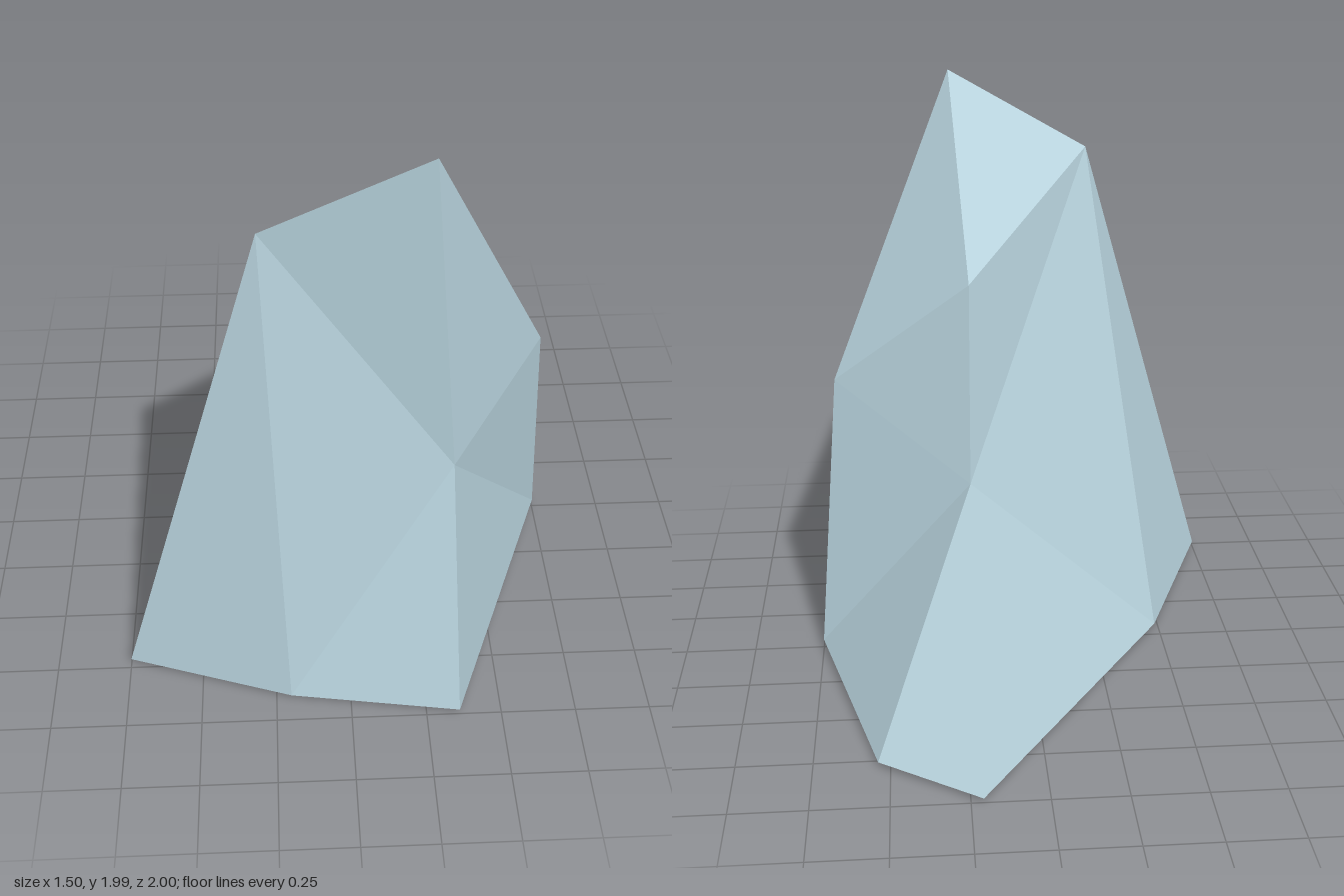
import * as THREE from 'three';

// Corners of the boulder
const P = {
  // ground ring, anticlockwise from the front left corner as seen from above
  g0: [-0.75, 0.02, 0.73],
  g1: [-0.2, 0.015, 0.91],
  g2: [0.36, 0.02, 1.0],
  g3: [0.75, 0.03, 0.0],
  g4: [0.54, 0.015, -0.78],
  g5: [0.21, 0.015, -1.0],
  g6: [-0.49, 0.0, 0.08],
  // shoulders
  front: [0.33, 0.89, 0.76],
  side: [0.68, 0.97, 0.21],
  back: [0.21, 0.73, -0.21],
  // crown
  low: [-0.27, 1.71, 0.67],
  peak: [0.24, 1.99, 0.75],
  rear: [0.2, 1.38, -0.02],
};

// Builds a faceted surface from triangles of named corners
function facets(name, material, triangles) {
  const points = triangles.flatMap((t) => t.split(' ').map((k) => new THREE.Vector3(...P[k])));
  const geometry = new THREE.BufferGeometry().setFromPoints(points);
  geometry.computeVertexNormals();
  const mesh = new THREE.Mesh(geometry, material);
  mesh.name = name;
  return mesh;
}

export function createModel() {
  const stone = new THREE.MeshStandardMaterial({
    color: 0xb5d0da, flatShading: true, side: THREE.DoubleSide,
  });
  stone.name = 'pale blue stone';

  const model = new THREE.Group();
  model.name = 'rock';
  model.add(
    // broad face towards the front
    facets('frontFace', stone, ['g0 g1 low', 'low g1 front', 'g1 g2 front', 'low front peak']),
    // facets around the +x side
    facets('leftFace', stone, [
      'peak front side', 'front g3 side', 'front g2 g3',
      'peak side rear', 'rear side back', 'back side g3',
    ]),
    // sloping top
    facets('crown', stone, ['low peak rear']),
    // facets around the -x side
    facets('rightFace', stone, ['low rear back', 'low back g6', 'low g6 g0']),
    // low spur running out to the back; the underside stays open
    facets('backSpur', stone, ['back g3 g4', 'back g4 g5', 'back g5 g6']),
  );
  return model;
}
